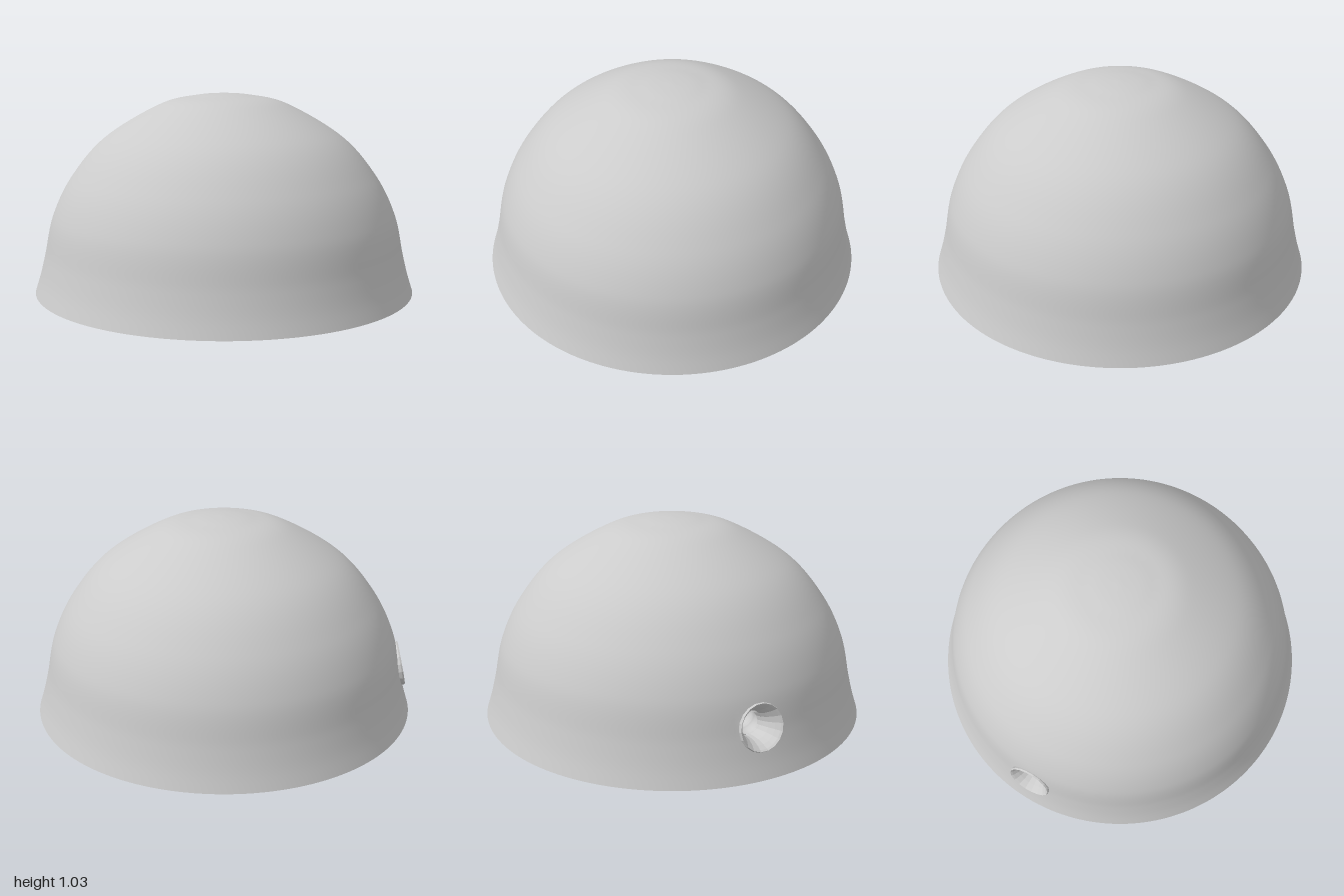
import * as THREE from 'three';
import { mergeVertices } from 'three/addons/utils/BufferGeometryUtils.js';

const grey = new THREE.MeshStandardMaterial({ color: 0xcccccc, side: THREE.DoubleSide });
const facetedGrey = grey.clone();
facetedGrey.flatShading = true;

const UP = new THREE.Vector3(0, 1, 0);
const PORT = new THREE.Vector3(-0.938, 0.243, -0.03); // centre of the hose port
const PORT_OUT = new THREE.Vector3(-0.977, 0.213, 0).normalize();
const PORT_RADIUS = 0.105;

const v2 = (points) => points.map(([x, y]) => new THREE.Vector2(x, y));

// Weld seams and shade smoothly
function smooth(geometry) {
  geometry.deleteAttribute('uv');
  geometry.deleteAttribute('normal');
  const welded = mergeVertices(geometry, 1e-5);
  welded.computeVertexNormals();
  return welded;
}

// Lathe turned around an axis that starts at origin and runs along direction
function turned(name, profile, sides, origin, direction, material) {
  const mesh = new THREE.Mesh(new THREE.LatheGeometry(profile, sides), material);
  mesh.quaternion.setFromUnitVectors(UP, direction);
  mesh.position.copy(origin);
  mesh.name = name;
  return mesh;
}

// Open shell with a flared skirt and a round hole for the port
function makeDome() {
  const profile = new THREE.SplineCurve(v2([
    [1, 0], [0.972, 0.09], [0.945, 0.2], [0.9, 0.4], [0.8, 0.6],
    [0.625, 0.8], [0.34, 0.97], [0.15, 1.018], [0, 1.03],
  ])).getSpacedPoints(72);
  const geometry = new THREE.LatheGeometry(profile, 180);
  const pos = geometry.attributes.position;
  const inside = [];
  const p = new THREE.Vector3();
  for (let i = 0; i < pos.count; i++) {
    p.fromBufferAttribute(pos, i);
    const dy = p.y - PORT.y, dz = p.z - PORT.z;
    const d = Math.hypot(dy, dz);
    inside[i] = p.x < 0 && d < PORT_RADIUS;
    if (inside[i] && d > 1e-4) {
      const k = PORT_RADIUS / d; // push out to the edge of the hole
      const y = PORT.y + dy * k, z = PORT.z + dz * k;
      pos.setXYZ(i, p.x - (y - p.y) * PORT_OUT.y / PORT_OUT.x, y, z);
    }
  }
  const kept = [];
  const index = geometry.index.array;
  for (let i = 0; i < index.length; i += 3) {
    const tri = [index[i], index[i + 1], index[i + 2]];
    if (!tri.every((v) => inside[v])) kept.push(...tri);
  }
  geometry.setIndex(kept);
  const mesh = new THREE.Mesh(smooth(geometry), grey);
  mesh.name = 'dome';
  return mesh;
}

// Corrugated hose arching through the dome
function makeHose() {
  const curve = new THREE.CatmullRomCurve3([
    [-0.84, 0.222, -0.03], [-0.7, 0.24, -0.03], [-0.545, 0.275, -0.02], [-0.37, 0.36, -0.01],
    [-0.2, 0.41, 0], [-0.03, 0.39, 0], [0.13, 0.315, 0], [0.32, 0.24, 0],
  ].map((p) => new THREE.Vector3(...p)));
  const rows = 180, sides = 20, ribs = 18;
  const geometry = new THREE.TubeGeometry(curve, rows, 0.062, sides, false);
  const pos = geometry.attributes.position;
  const p = new THREE.Vector3();
  for (let i = 0; i < pos.count; i++) {
    const t = Math.floor(i / (sides + 1)) / rows;
    const centre = curve.getPointAt(t);
    const swell = 0.96 + 0.16 * Math.abs(Math.sin(Math.PI * ribs * t)) ** 0.6;
    p.fromBufferAttribute(pos, i).sub(centre).multiplyScalar(swell).add(centre);
    pos.setXYZ(i, p.x, p.y, p.z);
  }
  const mesh = new THREE.Mesh(smooth(geometry), grey);
  mesh.name = 'hose';
  return mesh;
}

export function createModel() {
  const model = new THREE.Group();
  model.add(makeDome(), makeHose());

  // Flared port, opening outwards through the dome wall
  model.add(turned('portFunnel', v2([
    [0.06, -0.13], [0.064, -0.09], [0.073, -0.055], [0.09, -0.02],
    [0.106, 0.004], [0.114, 0.012], [0.118, 0.004], [0.114, -0.012],
    [0.1, -0.03], [0.082, -0.06], [0.07, -0.1],
  ]), 18, PORT, PORT_OUT, facetedGrey));

  // Rounded mouthpiece at the inner end of the hose
  const outline = new THREE.SplineCurve(v2([
    [0.05, 0], [0.085, 0.025], [0.13, 0.085], [0.145, 0.15],
    [0.135, 0.24], [0.11, 0.33], [0.085, 0.38],
  ])).getPoints(36);
  model.add(turned('mouthpiece', [...outline, new THREE.Vector2(0, 0.38)], 40,
    new THREE.Vector3(0.28, 0.235, 0), new THREE.Vector3(1, 0.05, 0).normalize(), grey));
  return model;
}
